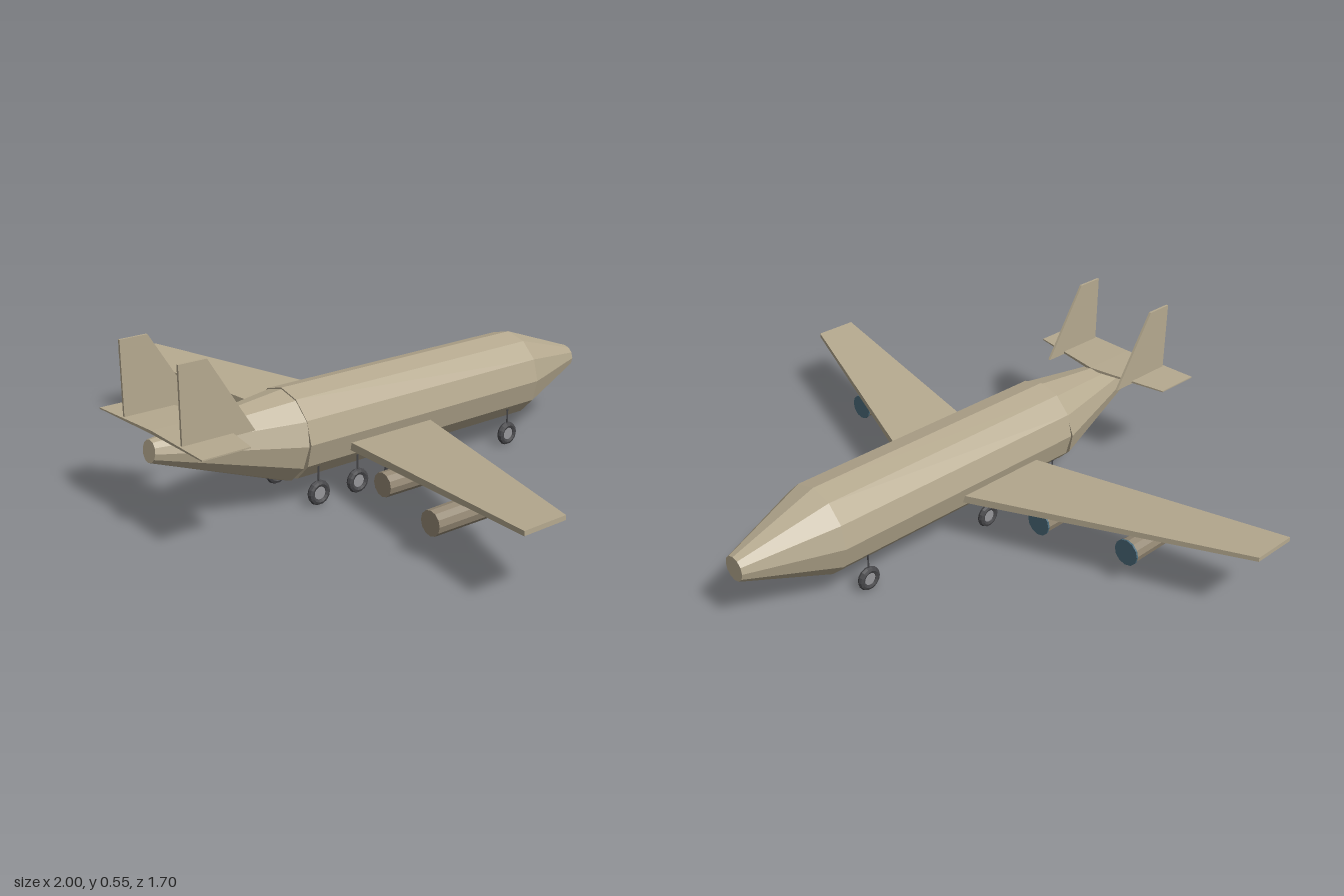
import * as THREE from 'three';

const mat = (name, color) => {
  const m = new THREE.MeshStandardMaterial({ color, flatShading: true });
  m.name = name;
  return m;
};

export function createModel() {
  const plane = new THREE.Group();
  plane.name = 'airplane';
  const skin = mat('tan skin', 0xb5a98f);
  const cowl = mat('engine grey', 0x948874);
  const intake = mat('intake blue', 0x4a6a7a);
  const rubber = mat('tyre rubber', 0x47474a);
  const metal = mat('hub metal', 0x96969a);

  const add = (name, geo, material, x = 0, y = 0, z = 0, parent = plane) => {
    const m = new THREE.Mesh(geo, material);
    m.name = name;
    m.position.set(x, y, z);
    parent.add(m);
    return m;
  };
  // cylinder lying along z: rear radius (+z), front radius (-z)
  const tube = (rear, front, len, sides = 12) =>
    new THREE.CylinderGeometry(rear, front, len, sides).rotateX(Math.PI / 2);

  // tapered panel from sections [x, yBottom, yTop, zFront, zRear]
  const panel = (sections) => {
    const pos = [], idx = [];
    sections.forEach(([x, y0, y1, z0, z1]) =>
      pos.push(x, y0, z0, x, y0, z1, x, y1, z1, x, y1, z0));
    for (let s = 0; s < sections.length - 1; s++) {
      for (let i = 0; i < 4; i++) {
        const a = s * 4 + i, b = s * 4 + (i + 1) % 4;
        idx.push(a, a + 4, b, b, a + 4, b + 4);
      }
    }
    const e = (sections.length - 1) * 4;
    idx.push(0, 1, 2, 0, 2, 3, e, e + 2, e + 1, e, e + 3, e + 2);
    const g = new THREE.BufferGeometry();
    g.setAttribute('position', new THREE.Float32BufferAttribute(pos, 3));
    g.setIndex(idx);
    const flat = g.toNonIndexed();
    flat.computeVertexNormals();
    return flat;
  };

  // body: straight barrel, nose taper at -z, upswept tail cone at +z
  add('fuselage', tube(0.144, 0.144, 0.955), skin, 0, 0.211, -0.0825);
  add('nose', tube(0.144, 0.04, 0.29), skin, 0, 0.211, -0.705);
  add('tailCone', tube(0.034, 0.144, 0.452), skin, 0, 0.237, 0.626).rotation.x = -0.125;

  // wings
  add('wings', panel([
    [-1, 0.224, 0.238, 0.24, 0.39],
    [0, 0.145, 0.172, -0.132, 0.214],
    [1, 0.224, 0.238, 0.24, 0.39],
  ]), skin);

  // tailplane
  add('tailplane', panel([
    [-0.275, 0.317, 0.321, 0.695, 0.85],
    [0, 0.314, 0.324, 0.645, 0.84],
    [0.275, 0.317, 0.321, 0.695, 0.85],
  ]), skin);

  // twin fins, drawn in the (z, y) plane
  const finShape = new THREE.Shape([
    [0.6, 0.313], [0.838, 0.313], [0.838, 0.552], [0.748, 0.552],
  ].map(([z, y]) => new THREE.Vector2(-z, y)));
  const finGeo = new THREE.ExtrudeGeometry(finShape, { depth: 0.008, bevelEnabled: false })
    .translate(0, 0, -0.004).rotateY(Math.PI / 2);

  const tyreGeo = new THREE.TorusGeometry(0.029, 0.011, 8, 14).rotateY(Math.PI / 2);
  const hubGeo = new THREE.CylinderGeometry(0.021, 0.021, 0.012, 12).rotateZ(Math.PI / 2);
  const strutGeo = new THREE.CylinderGeometry(0.003, 0.003, 0.08, 6);

  for (const side of [-1, 1]) {
    add('fin', finGeo, skin, side * 0.155);

    // engines: [x, front z]
    for (const [x, z] of [[0.33, 0.05], [0.62, 0.125]]) {
      const engine = new THREE.Group();
      engine.name = 'engine';
      engine.position.set(side * x, 0.117, z);
      plane.add(engine);
      add('engineCowl', tube(0.038, 0.04, 0.23), cowl, 0, 0, 0.115, engine);
      add('engineIntake', tube(0.043, 0.043, 0.006), intake, 0, 0, 0, engine);
    }

    // landing gear
    for (const z of [-0.455, 0.045, 0.195, 0.345]) {
      const gear = new THREE.Group();
      gear.name = 'landingGear';
      gear.position.set(side * 0.11, 0.04, z);
      plane.add(gear);
      add('tyre', tyreGeo, rubber, 0, 0, 0, gear);
      add('hub', hubGeo, metal, 0, 0, 0, gear);
      add('strut', strutGeo, rubber, 0, 0.065, 0, gear);
    }
  }
  return plane;
}
